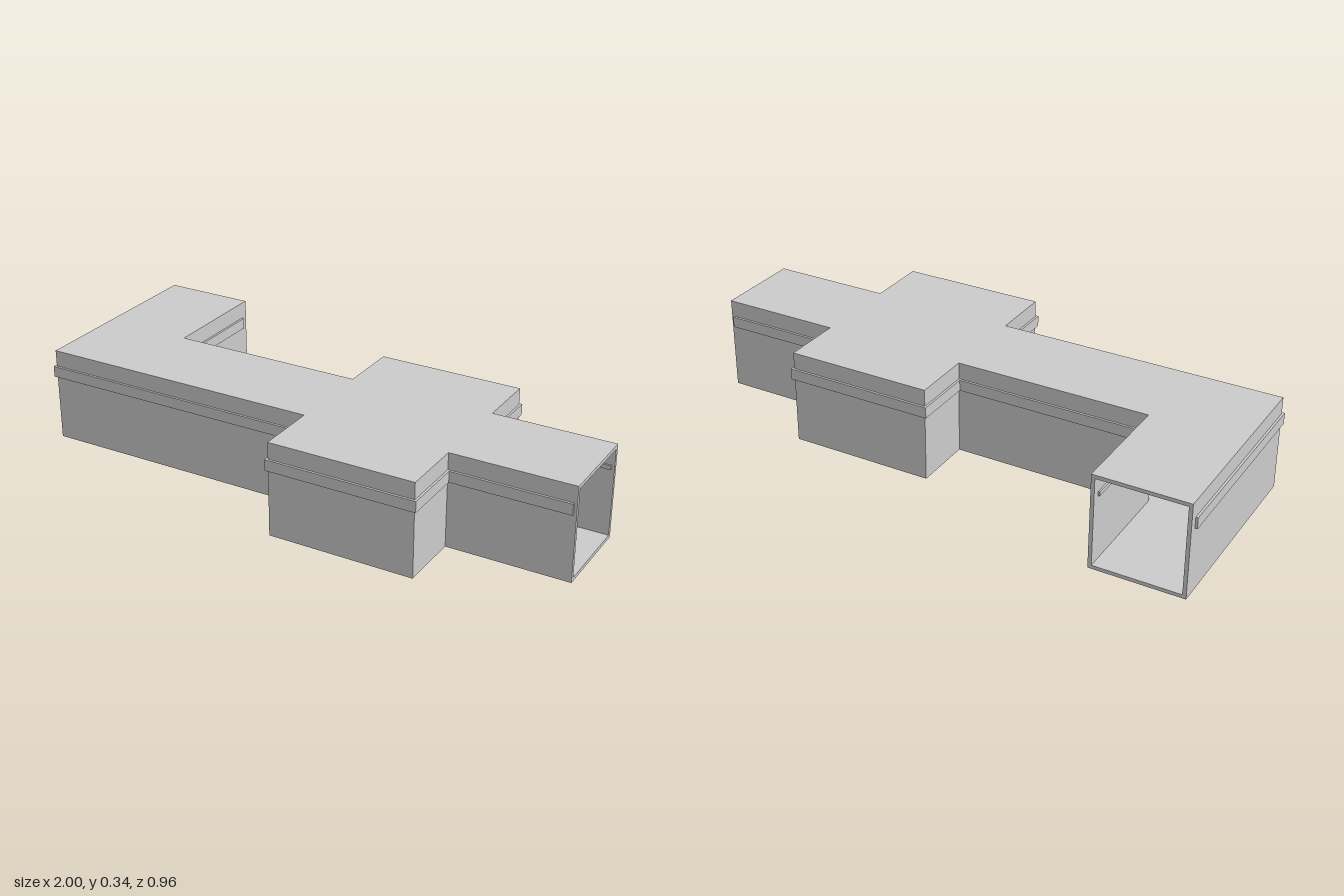
import * as THREE from 'three';

const H = 0.34, T = 0.013; // overall height, shell thickness

// Plan outline as two runs of wall [x, z], with openings between them
const backRun = [[-0.66, -0.48], [-0.66, -0.073], [0.04, -0.073], [0.04, -0.292],
  [0.565, -0.292], [0.565, -0.073], [1, -0.073]];
const frontRun = [[1, 0.249], [0.565, 0.249], [0.565, 0.473], [0.04, 0.473],
  [0.04, 0.249], [-0.99, 0.249], [-0.99, -0.48]];

const material = new THREE.MeshStandardMaterial({ color: 0xcccccc, flatShading: true });

// Moves a right-angled run outwards by d (inwards when negative)
function offset(run, d) {
  const normals = run.slice(1).map(([x, z], i) => {
    const dx = x - run[i][0], dz = z - run[i][1], l = Math.hypot(dx, dz);
    return [dz / l, -dx / l];
  });
  return run.map(([x, z], i) => {
    const sides = [normals[i - 1], normals[i]].filter(Boolean);
    return sides.reduce(([px, pz], [nx, nz]) => [px + nx * d, pz + nz * d], [x, z]);
  });
}

// Pulls the ends of a run back from the openings
function trimEnds(run) {
  return run.map(([x, z]) => [Math.min(x, 0.99), Math.max(z, -0.453)]);
}

// Extrudes a plan polygon between two heights
function slab(name, points, y0, y1) {
  const shape = new THREE.Shape(points.map(([x, z]) => new THREE.Vector2(x, -z)));
  const geometry = new THREE.ExtrudeGeometry(shape, { depth: y1 - y0, bevelEnabled: false });
  geometry.rotateX(-Math.PI / 2).translate(0, y0, 0);
  const mesh = new THREE.Mesh(geometry, material);
  mesh.name = name;
  return mesh;
}

// A strip following a run, between two offsets
function strip(name, run, d0, d1, y0, y1) {
  return slab(name, [...offset(run, d0), ...offset(run, d1).reverse()], y0, y1);
}

export function createModel() {
  const group = new THREE.Group();
  group.name = 'corridor';
  const plan = [...backRun, ...frontRun];

  // Floor and roof
  group.add(slab('floor', plan, 0, T), slab('roof', plan, H - T, H));

  // Walls with an outer trim band and a slim inner rail
  for (const [side, run] of [['back', backRun], ['front', frontRun]]) {
    const rail = trimEnds(run);
    group.add(
      strip(side + 'Wall', run, 0, -T, T, H - T),
      strip(side + 'OuterTrim', rail, 0.008, -0.003, 0.24, 0.28),
      strip(side + 'InnerRail', rail, -T + 0.003, -T - 0.006, 0.252, 0.267),
    );
  }
  return group;
}
